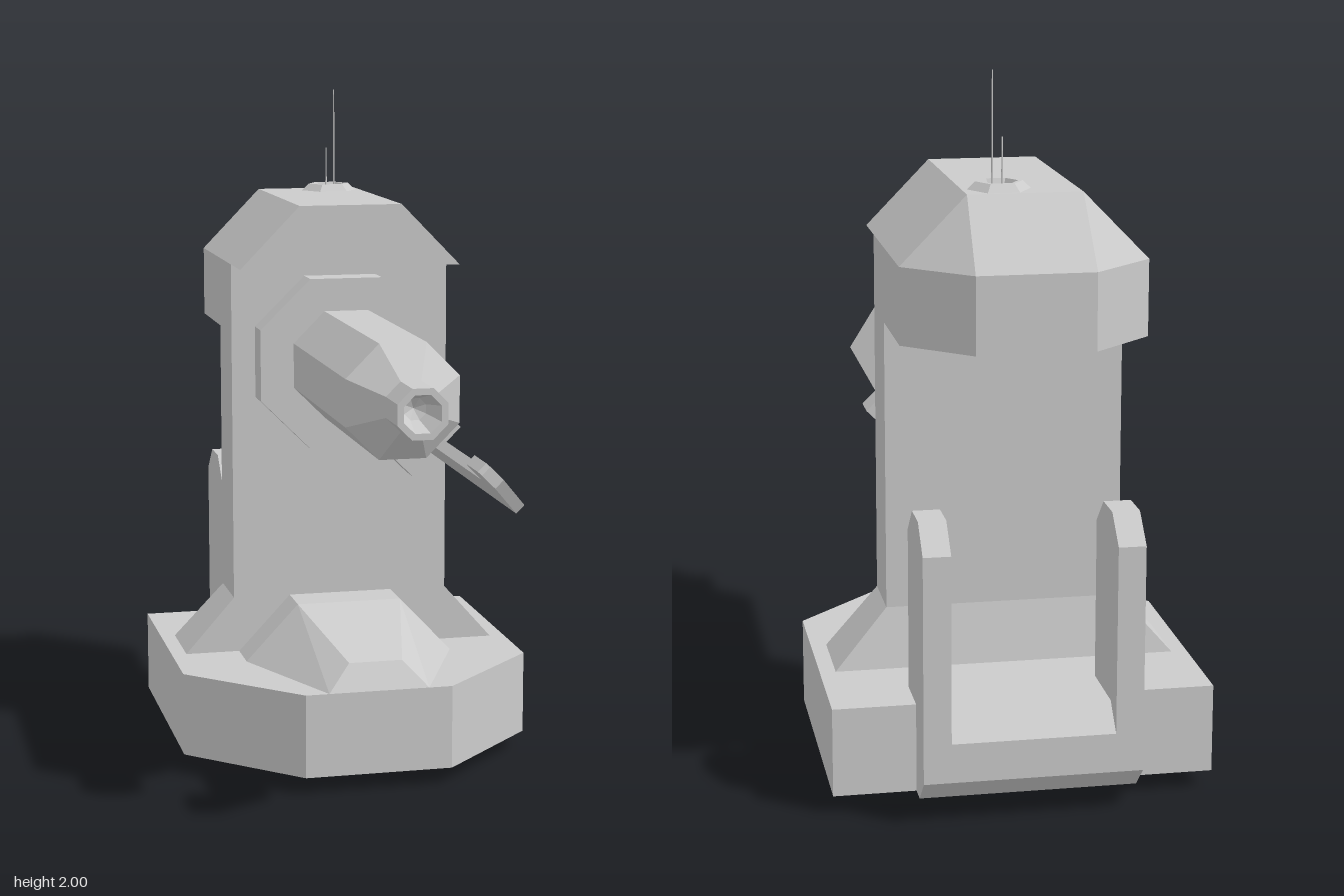
import * as THREE from 'three';
import { ConvexGeometry } from 'three/addons/geometries/ConvexGeometry.js';

const material = new THREE.MeshStandardMaterial({ color: 0xcccccc, flatShading: true });

function add(parent, name, geometry) {
  const mesh = new THREE.Mesh(geometry, material);
  mesh.name = name;
  parent.add(mesh);
  return mesh;
}

const vectors = (pts) => pts.map(([x, y]) => new THREE.Vector2(x, y));

function extrude(pts, depth, hole) {
  const shape = new THREE.Shape(vectors(pts));
  if (hole) shape.holes.push(new THREE.Path(vectors(hole)));
  return new THREE.ExtrudeGeometry(shape, { depth, bevelEnabled: false });
}

// Plan outline in (x, z), filling y0..y1
const slab = (pts, y0, y1, hole) =>
  extrude(pts, y1 - y0, hole).rotateX(Math.PI / 2).translate(0, y1, 0);

// Side outline in (z, y), filling x0..x1
const sidePlate = (pts, x0, x1) =>
  extrude(pts, x1 - x0).rotateY(-Math.PI / 2).translate(x1, 0, 0);

// Convex solid from points given for x >= 0, mirrored to -x
const mirroredHull = (pts) => new ConvexGeometry(
  pts.flatMap(([x, y, z]) => [new THREE.Vector3(x, y, z), new THREE.Vector3(-x, y, z)]));

// Octagon with flat sides along the axes
function octagon(apothem, cx, cy) {
  const r = apothem / Math.cos(Math.PI / 8);
  return Array.from({ length: 8 }, (_, i) => {
    const a = Math.PI / 8 + (i * Math.PI) / 4;
    return [cx + r * Math.cos(a), cy + r * Math.sin(a)];
  });
}

export function createModel() {
  const model = new THREE.Group();
  model.name = 'turret';

  // Base with a recessed socket underneath
  const socketZ = -0.265;
  const socket = octagon(0.235, 0, socketZ);
  add(model, 'base', slab([
    [-0.53, -0.785], [0.53, -0.785], [0.53, -0.045], [0.22, 0.26], [-0.22, 0.26], [-0.53, -0.045],
  ], 0.05, 0.13, socket));
  add(model, 'baseTop', slab([
    [-0.53, -0.785], [0.53, -0.785], [0.53, -0.045], [0.22, 0.26], [-0.22, 0.26], [-0.53, -0.045],
  ], 0.13, 0.3));
  add(model, 'footRing', slab(octagon(0.275, 0, socketZ), 0, 0.05, socket));
  const bar = add(model, 'socketBar', new THREE.BoxGeometry(0.46, 0.11, 0.1));
  bar.position.set(0, 0.075, socketZ);
  bar.rotation.y = -Math.PI / 4;

  // Sloped fairing in front of the neck
  add(model, 'frontFairing', mirroredHull([
    [0.32, 0.3, -0.27], [0.32, 0.3, -0.14], [0.15, 0.3, 0.26],
    [0.16, 0.47, -0.27], [0.16, 0.47, -0.14], [0.08, 0.375, 0.21],
  ]));

  // Neck and its flared foot
  add(model, 'neck', new THREE.BoxGeometry(0.67, 1.03, 0.195)).position.set(0, 0.985, -0.3625);
  add(model, 'neckFoot', mirroredHull([
    [0.335, 0.47, -0.265], [0.335, 0.47, -0.46], [0.485, 0.3, -0.265], [0.485, 0.3, -0.495],
  ]));

  // Head: rear body and chamfered hood
  add(model, 'headBody', slab([
    [-0.335, -0.265], [-0.335, -0.755], [-0.16, -0.915],
    [0.16, -0.915], [0.335, -0.755], [0.335, -0.265],
  ], 1.29, 1.5));
  add(model, 'hood', mirroredHull([
    [0.335, 1.5, -0.11], [0.335, 1.5, -0.755], [0.16, 1.5, -0.915],
    [0.155, 1.685, -0.11], [0.155, 1.685, -0.755],
  ]));

  // Antenna socket and two antennas
  const cap = new THREE.LatheGeometry(vectors([
    [0.087, 0], [0.064, 0.022], [0.052, 0.022], [0.044, 0.006], [0, 0.006],
  ]), 6, Math.PI / 6);
  add(model, 'antennaSocket', cap).position.set(0.055, 1.684, -0.67);
  for (const [x, z, top] of [[0.042, -0.648, 1.82], [0.075, -0.682, 2]]) {
    const height = top - 1.685;
    add(model, 'antenna', new THREE.CylinderGeometry(0.0015, 0.003, height, 5))
      .position.set(x, 1.685 + height / 2, z);
  }

  // Mounting plate: octagon with one corner drawn out for the blade
  add(model, 'mountPlate', extrude([
    [-0.11, 1.46], [-0.263, 1.31], [-0.263, 1.095], [-0.11, 0.942], [0.11, 0.942],
    [0.21, 0.842], [0.36, 0.992], [0.263, 1.09], [0.263, 1.31], [0.11, 1.46],
  ], 0.09).translate(0, 0, -0.265));

  // Barrel with tapered nose, muzzle and bore
  const k = 1 / Math.cos(Math.PI / 8);
  const barrel = new THREE.LatheGeometry(vectors([
    [0, -0.18], [0.162 * k, -0.18], [0.162 * k, 0.525], [0.07 * k, 0.615],
    [0.07 * k, 0.745], [0.052 * k, 0.745], [0.03 * k, 0.66], [0, 0.64],
  ]), 8, Math.PI / 8).rotateX(Math.PI / 2);
  add(model, 'barrel', barrel).position.y = 1.2;

  // Hooked blade beside the barrel, outline in (z, distance from barrel axis)
  const blade = sidePlate([
    [-0.18, 0.376], [0.77, 0.376], [0.915, 0.232], [0.915, 0.18], [0.905, 0.168],
    [0.79, 0.168], [0.77, 0.188], [0.77, 0.24], [-0.18, 0.24],
  ], -0.016, 0.016).rotateZ(-Math.PI * 0.75);
  add(model, 'blade', blade).position.y = 1.2;

  // Rear uprights and the cross bar joining them
  for (const side of [-1, 1]) {
    add(model, 'rearUpright', sidePlate([
      [-0.65, 0.28], [-0.65, 0.755], [-0.73, 0.83], [-0.835, 0.83], [-0.915, 0.755],
      [-0.915, 0.12], [-0.84, 0.05], [-0.785, 0.05], [-0.785, 0.28],
    ], side * 0.263 - 0.038, side * 0.263 + 0.038));
  }
  add(model, 'rearCrossBar', sidePlate([
    [-0.78, 0.05], [-0.78, 0.3], [-0.845, 0.3], [-0.915, 0.23], [-0.915, 0.12], [-0.84, 0.05],
  ], -0.226, 0.226));

  return model;
}
